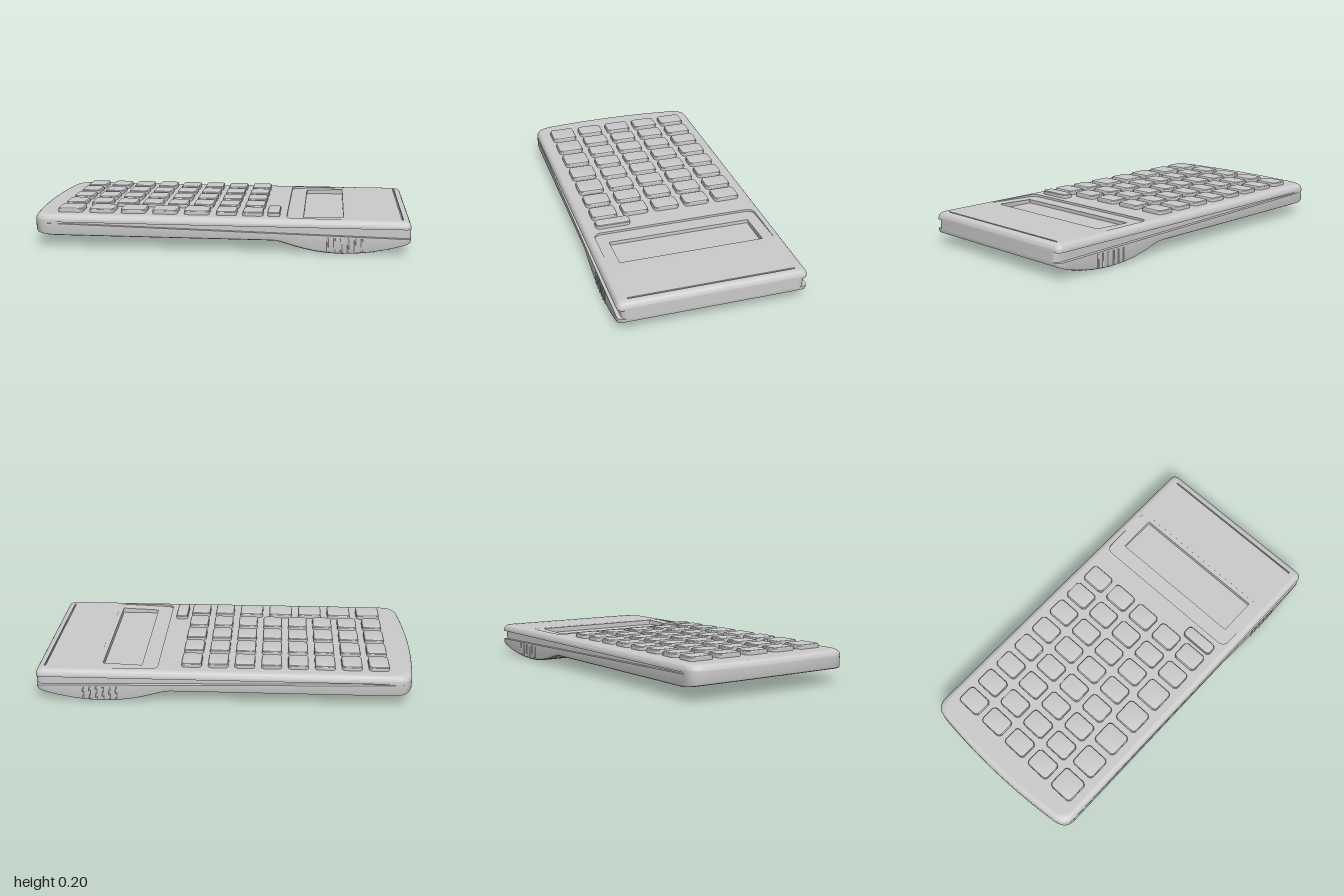
import * as THREE from 'three';
import { toCreasedNormals } from 'three/addons/utils/BufferGeometryUtils.js';

const TOP = 0.175, HALF = 0.488;
const mat = new THREE.MeshStandardMaterial({ color: 0xcccccc });
const matDouble = new THREE.MeshStandardMaterial({ color: 0xcccccc, side: THREE.DoubleSide });

// Underside height along the length, with the battery bulge near the right end
const PROFILE = [[-1, 0.082], [-0.95, 0.071], [-0.89, 0.063], [0.31, 0.062], [0.36, 0.049], [0.42, 0.031],
  [0.5, 0.013], [0.58, 0.003], [0.66, 0], [0.74, 0.004], [0.82, 0.014], [0.9, 0.03], [0.96, 0.046], [1, 0.062]];
function bottomY(x) {
  for (let i = 1; i < PROFILE.length; i++) {
    const [x0, y0] = PROFILE[i - 1], [x1, y1] = PROFILE[i];
    if (x <= x1) return y0 + (y1 - y0) * (x - x0) / (x1 - x0);
  }
  return PROFILE[PROFILE.length - 1][1];
}

// Half of the plan outline, from the bowed left end to the straight right end
function halfOutline() {
  const pts = [];
  for (let i = 0; i < 8; i++) {
    const z = 0.42 * i / 8;
    pts.push([-1 + 0.025 * (z / 0.42) ** 2, z]);
  }
  const corner = new THREE.QuadraticBezierCurve(
    new THREE.Vector2(-0.975, 0.42), new THREE.Vector2(-0.962, HALF), new THREE.Vector2(-0.9, HALF));
  corner.getPoints(8).forEach(p => pts.push([p.x, p.y]));
  for (let i = 1; i < 60; i++) pts.push([-0.9 + 1.87 * i / 60, HALF]);
  for (let i = 0; i <= 6; i++) {
    const a = Math.PI / 2 * (1 - i / 6);
    pts.push([0.97 + 0.03 * Math.cos(a), HALF - 0.03 + 0.03 * Math.sin(a)]);
  }
  pts.push([1, 0]);
  return pts;
}

function mesh(name, geometry, material = mat) {
  const m = new THREE.Mesh(geometry, material);
  m.name = name;
  return m;
}

function roundedRect(x0, x1, z0, z1, r) {
  const s = new THREE.Shape();
  s.absarc(x1 - r, z1 - r, r, 0, Math.PI / 2);
  s.absarc(x0 + r, z1 - r, r, Math.PI / 2, Math.PI);
  s.absarc(x0 + r, z0 + r, r, Math.PI, Math.PI * 1.5);
  s.absarc(x1 - r, z0 + r, r, Math.PI * 1.5, Math.PI * 2);
  s.closePath();
  return s;
}

// Horizontal face whose height follows a function of x
function face(shape, yAt) {
  const g = new THREE.ShapeGeometry(shape, 6).rotateX(-Math.PI / 2);
  const p = g.attributes.position;
  for (let i = 0; i < p.count; i++) p.setY(i, yAt(p.getX(i)));
  g.computeVertexNormals();
  return g;
}

// Upright wall around a recess
function recessWall(shape, lowAt, highAt) {
  const pts = shape.getPoints(6), pos = [], idx = [];
  pts.forEach(p => pos.push(p.x, lowAt(p.x), -p.y, p.x, highAt(p.x), -p.y));
  for (let i = 0; i < pts.length; i++) {
    const a = 2 * i, b = 2 * ((i + 1) % pts.length);
    idx.push(a, a + 1, b, b, a + 1, b + 1);
  }
  const g = new THREE.BufferGeometry();
  g.setAttribute('position', new THREE.Float32BufferAttribute(pos, 3));
  g.setIndex(idx);
  return toCreasedNormals(g, 0.6);
}

// Shell built from stacked rings, including the wedge-shaped side rail groove
function shellGeometry(outline, half) {
  const railLow = x => 0.13 - 0.022 * (x + 1);
  const railDepth = x => 0.02 * THREE.MathUtils.clamp((x + 0.92) / 0.2, 0, 1);
  const inset = (d, yAt) => ([x, z]) => [x * (1 - d), yAt(x), z * (1 - d / HALF)];
  const rail = yAt => ([x, z]) => [x, yAt(x), z * (1 - railDepth(x) / HALF)];
  const rings = [
    inset(0.012, bottomY), inset(0.003, x => bottomY(x) + 0.004), inset(0, x => bottomY(x) + 0.014),
    inset(0, railLow), rail(railLow), rail(() => 0.135), inset(0, () => 0.135)];
  for (let i = 0; i <= 6; i++) {
    const a = Math.PI / 2 * i / 6;
    rings.push(inset(0.03 * (1 - Math.cos(a)), () => TOP - 0.03 + 0.03 * Math.sin(a)));
  }
  const n = outline.length, pos = [], idx = [];
  rings.forEach(f => outline.forEach(p => pos.push(...f(p))));
  for (let r = 0; r < rings.length - 1; r++) {
    for (let i = 0; i < n; i++) {
      const a = r * n + i, b = r * n + (i + 1) % n;
      idx.push(a, b, b + n, a, b + n, a + n);
    }
  }
  // Underside strips between mirrored outline points
  for (let i = 0; i < half - 1; i++) {
    const a = i, b = i + 1, c = (n - i - 1) % n, d = (n - i) % n;
    idx.push(a, c, b, a, d, c);
  }
  const g = new THREE.BufferGeometry();
  g.setAttribute('position', new THREE.Float32BufferAttribute(pos, 3));
  g.setIndex(idx);
  return toCreasedNormals(g, 0.6);
}

function keyGeometry(w, d) {
  const b = 0.01;
  const g = new THREE.ExtrudeGeometry(roundedRect(-w / 2 + b, w / 2 - b, -d / 2 + b, d / 2 - b, 0.012), {
    depth: 0.022, bevelEnabled: true, bevelSize: b, bevelThickness: 0.006, bevelSegments: 2, curveSegments: 4 });
  return toCreasedNormals(g.rotateX(-Math.PI / 2), 0.5);
}

export function createModel() {
  const model = new THREE.Group();
  model.name = 'calculator';

  const half = halfOutline();
  const outline = [...half, ...half.slice(1, -1).reverse().map(([x, z]) => [x, -z])];
  model.add(mesh('shell', shellGeometry(outline, half.length)));

  // Top face with openings for the display surround and the end seam
  const flat = () => TOP;
  const bezel = roundedRect(0.36, 0.68, -0.445, 0.445, 0.04);
  const bezelY = x => TOP - 0.012 * (0.685 - x) / 0.325;
  const seam = roundedRect(0.953, 0.961, -0.43, 0.43, 0.003);
  const seamY = () => TOP - 0.012;
  const top = new THREE.Shape(outline.map(([x, z]) => new THREE.Vector2(x * 0.97, -z * (1 - 0.03 / HALF))));
  top.holes.push(bezel, seam);
  model.add(mesh('topFace', face(top, flat)));
  model.add(mesh('endSeamWall', recessWall(seam, seamY, flat), matDouble));
  model.add(mesh('endSeamFloor', face(seam, seamY)));

  // Sloping display surround with a sunken window
  const screenY = () => 0.147;
  const screen = roundedRect(0.447, 0.655, -0.383, 0.383, 0.004);
  model.add(mesh('displayBezelWall', recessWall(bezel, bezelY, flat), matDouble));
  const surround = bezel.clone();
  surround.holes.push(screen);
  model.add(mesh('displayBezel', face(surround, bezelY)));
  model.add(mesh('displayWall', recessWall(screen, screenY, bezelY), matDouble));
  model.add(mesh('displayScreen', face(screen, screenY)));

  // Keypad: four regular rows, a front row with wide keys, and one tall key
  const keys = new THREE.Group();
  keys.name = 'keypad';
  const addKey = (geometry, x, z) => {
    const k = mesh('key', geometry);
    k.position.set(x, 0.17, z);
    keys.add(k);
  };
  const regular = keyGeometry(0.107, 0.14), wide = keyGeometry(0.132, 0.14);
  const column = i => -0.805 + 0.141 * i;
  for (let row = 0; row < 4; row++) {
    for (let i = 0; i < 8; i++) addKey(regular, column(i), -0.347 + 0.1735 * row);
  }
  for (let i = 0; i < 5; i++) addKey(wide, -0.794 + 0.1695 * i, 0.347);
  for (const i of [6, 7]) addKey(regular, column(i), 0.347);
  addKey(keyGeometry(0.066, 0.187), 0.291, 0.323);
  model.add(keys);

  // Grip ribs on both sides of the bulge
  for (const side of [-1, 1]) {
    for (let i = 0; i < 6; i++) {
      const x = 0.575 + 0.035 * i, low = bottomY(x) + 0.008;
      const rib = mesh('gripRib', new THREE.CylinderGeometry(0.005, 0.005, 0.084 - low, 8));
      rib.position.set(x, (0.084 + low) / 2, side * (HALF - 0.002));
      model.add(rib);
    }
  }

  // Fine ridges across the underside
  for (let i = 0; i < 4; i++) {
    const x = 0.77 + 0.04 * i;
    const ridge = mesh('undersideRidge', new THREE.CylinderGeometry(0.004, 0.004, 0.94, 8).rotateX(Math.PI / 2));
    ridge.position.set(x, bottomY(x) + 0.001, 0);
    model.add(ridge);
  }
  return model;
}
